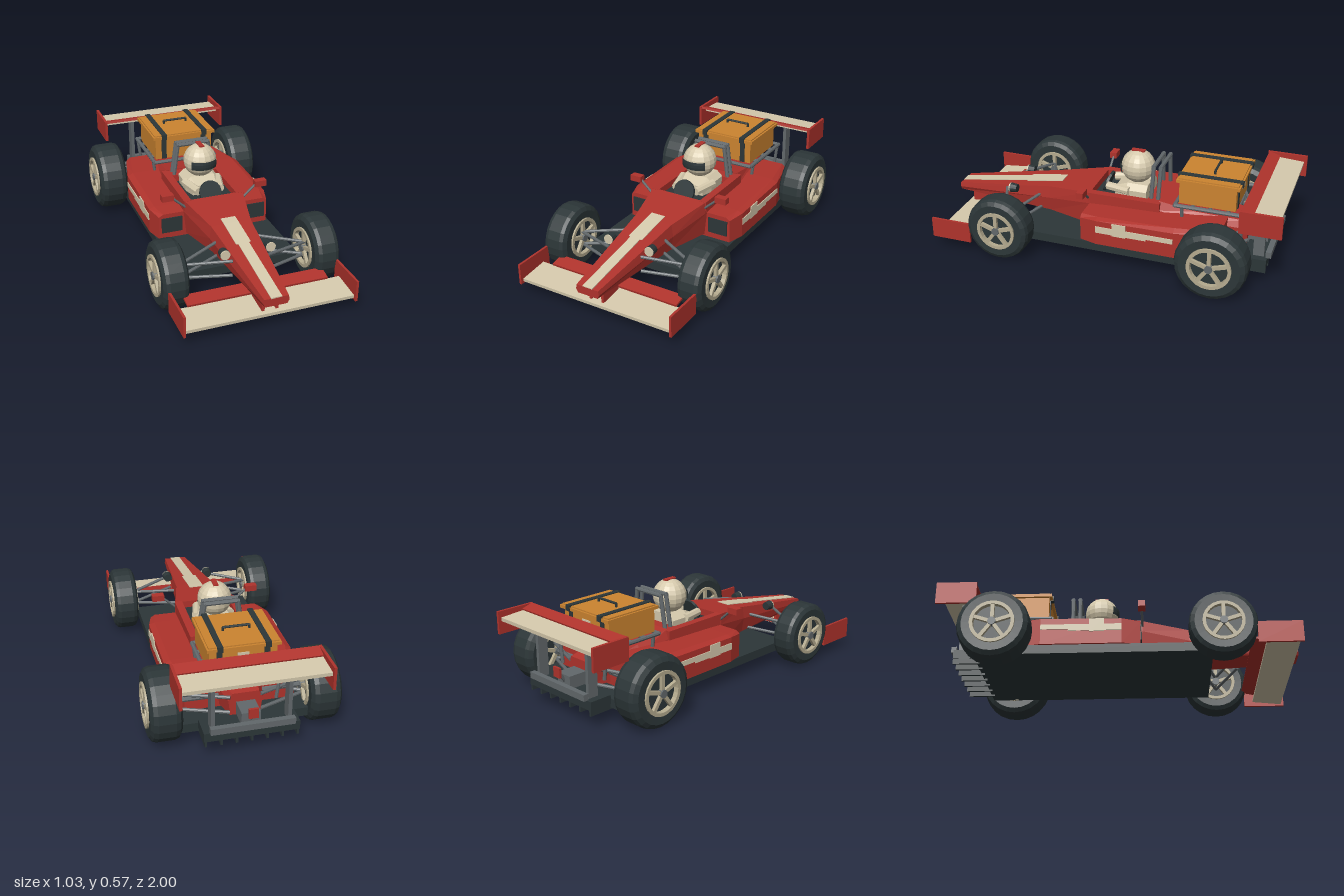
import * as THREE from 'three';

const mat = (name, color) => Object.assign(new THREE.MeshStandardMaterial({ color }), { name });

export function createModel() {
  const red = mat('bodyRed', 0xb0332c), cream = mat('cream', 0xd6caad), dark = mat('charcoal', 0x2c3638);
  const grey = mat('steel', 0x62686b), tan = mat('leather', 0xcc8430), alloy = mat('wheelAlloy', 0xb5ab8f);
  const car = new THREE.Group();
  car.name = 'racingCar';

  // Adds a faceted mesh
  function add(name, geo, m, x = 0, y = 0, z = 0, parent = car) {
    const g = geo.index ? geo.toNonIndexed() : geo;
    g.computeVertexNormals();
    const mesh = new THREE.Mesh(g, m);
    mesh.name = name;
    mesh.position.set(x, y, z);
    parent.add(mesh);
    return mesh;
  }
  // Box given by its limits
  const box = (name, m, x0, x1, y0, y1, z0, z1) =>
    add(name, new THREE.BoxGeometry(x1 - x0, y1 - y0, z1 - z0), m, (x0 + x1) / 2, (y0 + y1) / 2, (z0 + z1) / 2);
  // Mirrored pair of boxes
  const pair = (name, m, x0, x1, ...r) => {
    box(name + 'Left', m, x0, x1, ...r);
    box(name + 'Right', m, -x1, -x0, ...r);
  };
  // Round bar between two points
  function rod(name, a, b, r, m = grey) {
    const A = new THREE.Vector3(...a), B = new THREE.Vector3(...b), d = B.clone().sub(A);
    const mesh = add(name, new THREE.CylinderGeometry(r, r, d.length(), 8), m);
    mesh.position.copy(A).add(B).multiplyScalar(0.5);
    mesh.quaternion.setFromUnitVectors(new THREE.Vector3(0, 1, 0), d.normalize());
  }
  // Solid through counter-clockwise sections, ordered from front to back
  function loft(name, m, sections) {
    const v = [], tri = (a, b, c) => v.push(...a, ...b, ...c);
    const n = sections[0].length, last = sections[sections.length - 1];
    for (let i = 0; i < sections.length - 1; i++) for (let j = 0; j < n; j++) {
      const k = (j + 1) % n, P = sections[i], Q = sections[i + 1];
      tri(P[j], Q[j], Q[k]);
      tri(P[j], Q[k], P[k]);
    }
    for (let j = 1; j < n - 1; j++) {
      tri(sections[0][0], sections[0][j], sections[0][j + 1]);
      tri(last[0], last[j + 1], last[j]);
    }
    const g = new THREE.BufferGeometry();
    g.setAttribute('position', new THREE.Float32BufferAttribute(v, 3));
    return add(name, g, m);
  }
  // Symmetric section: bottom, shoulder and top half widths and heights
  const sec = (z, wb, yb, ws, ys, wt, yt) =>
    [[-wb, yb, z], [wb, yb, z], [ws, ys, z], [wt, yt, z], [-wt, yt, z], [-ws, ys, z]];

  // Floor and diffuser
  box('floor', dark, -0.34, 0.34, 0.08, 0.13, -0.78, 0.51);
  box('diffuser', dark, -0.25, 0.25, 0.1, 0.15, -0.91, -0.78);
  for (let i = -3; i <= 3; i++) box('diffuserFin', dark, i * 0.08 - 0.006, i * 0.08 + 0.006, 0.07, 0.12, -0.91, -0.76);
  box('rearCrossbar', grey, -0.22, 0.22, 0.15, 0.185, -0.93, -0.9);

  // Nose with its stripe
  loft('nose', red, [
    sec(1, 0.06, 0.165, 0.07, 0.185, 0.066, 0.21),
    sec(0.39, 0.11, 0.155, 0.125, 0.24, 0.115, 0.31),
    sec(0.12, 0.165, 0.14, 0.18, 0.28, 0.175, 0.345)]);
  const noseY = z => (z > 0.39 ? 0.21 + (1 - z) * 0.1 / 0.61 : 0.31 + (0.39 - z) * 0.035 / 0.27);
  loft('noseStripe', cream, [[1, 0.03], [0.57, 0.03], [0.565, 0.042], [0.39, 0.042], [0.34, 0.042]].map(([z, w]) => {
    const y = noseY(z);
    return [[-w, y - 0.003, z], [w, y - 0.003, z], [w, y + 0.004, z], [-w, y + 0.004, z]];
  }));

  // Sidepods, intakes and side stripes
  loft('sidepods', red, [
    sec(0.12, 0.325, 0.13, 0.325, 0.265, 0.3, 0.28),
    sec(0.02, 0.352, 0.13, 0.352, 0.275, 0.32, 0.285),
    sec(-0.42, 0.352, 0.13, 0.352, 0.28, 0.32, 0.297),
    sec(-0.66, 0.295, 0.13, 0.295, 0.27, 0.27, 0.29)]);
  pair('sidepodIntake', dark, 0.19, 0.31, 0.165, 0.255, 0.119, 0.126);
  pair('sideStripeFront', cream, 0.35, 0.357, 0.205, 0.243, -0.27, 0.02);
  pair('sideStripeRear', cream, 0.35, 0.357, 0.215, 0.243, -0.42, -0.27);
  pair('sidePanel', cream, 0.35, 0.358, 0.2, 0.275, -0.155, -0.075);

  // Cockpit, rails and engine cover
  box('cockpitFloor', dark, -0.14, 0.14, 0.28, 0.305, -0.22, 0.13);
  pair('cockpitRail', red, 0.135, 0.178, 0.27, 0.345, -0.29, 0.13);
  box('headrest', red, -0.14, 0.14, 0.28, 0.345, -0.29, -0.21);
  loft('engineCover', red, [
    sec(-0.28, 0.17, 0.15, 0.17, 0.3, 0.15, 0.35),
    sec(-0.48, 0.16, 0.15, 0.16, 0.27, 0.13, 0.31),
    sec(-0.77, 0.08, 0.14, 0.09, 0.23, 0.07, 0.27)]);
  box('gearbox', grey, -0.05, 0.05, 0.13, 0.22, -0.88, -0.76);
  box('rearLight', red, -0.025, 0.025, 0.215, 0.27, -0.925, -0.912);
  rod('rearLightStalk', [0, 0.18, -0.87], [0, 0.24, -0.915], 0.01);

  // Driver
  add('helmet', new THREE.SphereGeometry(0.096, 16, 12), cream, 0, 0.473, -0.11);
  add('visor', new THREE.SphereGeometry(0.104, 10, 3, Math.PI / 2 - 0.82, 1.64, 1.36, 0.48), dark, 0, 0.473, -0.11)
    .material.side = THREE.DoubleSide;
  box('helmetStripe', red, -0.014, 0.014, 0.564, 0.572, -0.148, -0.072);
  loft('torso', cream, [
    sec(0, 0.08, 0.3, 0.085, 0.34, 0.06, 0.36),
    sec(-0.07, 0.1, 0.3, 0.105, 0.36, 0.07, 0.39),
    sec(-0.19, 0.1, 0.3, 0.105, 0.36, 0.07, 0.39)]);
  for (const s of [1, -1]) rod('driverArm', [s * 0.1, 0.355, -0.09], [s * 0.065, 0.35, 0.05], 0.024, cream);
  add('steeringWheel', new THREE.CylinderGeometry(0.065, 0.065, 0.014, 16), dark, 0, 0.345, 0.065).rotation.x = Math.PI / 2 - 0.35;

  // Roll hoop
  for (const z of [-0.225, -0.265]) {
    for (const s of [1, -1]) rod('rollHoopLeg', [s * 0.125, 0.31, z], [s * 0.092, 0.53, z - 0.005], 0.012);
    rod('rollHoopTop', [-0.1, 0.525, z - 0.005], [0.1, 0.525, z - 0.005], 0.012);
  }

  // Luggage rack
  for (const s of [1, -1]) {
    rod('rackRail', [s * 0.19, 0.362, -0.38], [s * 0.19, 0.362, -0.77], 0.012);
    for (const z of [-0.42, -0.75]) rod('rackLeg', [s * 0.17, 0.2, z], [s * 0.19, 0.362, z], 0.01);
  }
  for (let i = 0; i < 5; i++) rod('rackBar', [-0.195, 0.362, -0.38 - i * 0.0975], [0.195, 0.362, -0.38 - i * 0.0975], 0.011);

  // Suitcase with straps, handle and latch
  box('suitcase', tan, -0.177, 0.177, 0.374, 0.505, -0.715, -0.4);
  box('suitcaseLid', tan, -0.193, 0.193, 0.503, 0.52, -0.735, -0.385);
  box('suitcaseLidTop', tan, -0.183, 0.183, 0.518, 0.527, -0.725, -0.395);
  pair('strapTop', dark, 0.11, 0.14, 0.5, 0.532, -0.74, -0.38);
  pair('strapBody', dark, 0.11, 0.14, 0.374, 0.51, -0.719, -0.396);
  rod('suitcaseHandle', [-0.07, 0.546, -0.57], [0.07, 0.546, -0.57], 0.007, dark);
  for (const s of [1, -1]) rod('handleEnd', [s * 0.07, 0.52, -0.57], [s * 0.07, 0.546, -0.57], 0.007, dark);
  box('suitcaseLatch', cream, -0.03, 0.03, 0.44, 0.475, -0.72, -0.714);

  // Front wing
  add('frontWing', new THREE.BoxGeometry(0.93, 0.018, 0.17), cream, 0, 0.092, 0.87).rotation.x = 0.1;
  add('frontFlap', new THREE.BoxGeometry(0.78, 0.012, 0.08), red, 0, 0.123, 0.752).rotation.x = 0.2;
  pair('frontEndplate', red, 0.459, 0.472, 0.065, 0.183, 0.735, 0.972);
  pair('frontWingMount', red, 0.03, 0.045, 0.09, 0.19, 0.8, 0.93);

  // Rear wing
  add('rearWing', new THREE.BoxGeometry(0.755, 0.02, 0.145), cream, 0, 0.457, -0.91).rotation.x = -0.06;
  add('rearFlap', new THREE.BoxGeometry(0.755, 0.014, 0.068), red, 0, 0.483, -0.812).rotation.x = -0.3;
  pair('rearEndplate', red, 0.375, 0.39, 0.372, 0.498, -1, -0.775);
  pair('rearWingPost', grey, 0.19, 0.21, 0.13, 0.452, -0.89, -0.83);

  for (const s of [1, -1]) {
    // Mirrors
    box('mirror', red, s * 0.277 - 0.034, s * 0.277 + 0.034, 0.37, 0.405, 0.108, 0.148);
    rod('mirrorStalk', [s * 0.16, 0.3, 0.13], [s * 0.25, 0.38, 0.128], 0.007);

    // Nose lamps
    const lamp = add('lamp', new THREE.CylinderGeometry(0.028, 0.024, 0.04, 14), dark, s * 0.128, 0.27, 0.61);
    const lens = add('lampLens', new THREE.CylinderGeometry(0.027, 0.027, 0.008, 14), cream, s * 0.128, 0.27, 0.633);
    lamp.rotation.x = lens.rotation.x = Math.PI / 2;
    rod('lampBracket', [s * 0.08, 0.245, 0.61], [s * 0.12, 0.265, 0.61], 0.01, dark);

    // Suspension arms
    for (const z of [0.67, 0.45]) {
      rod('frontUpperArm', [s * 0.1, 0.25, z], [s * 0.36, 0.215, 0.56], 0.009);
      rod('frontLowerArm', [s * 0.1, 0.165, z], [s * 0.36, 0.14, 0.56], 0.009);
    }
    for (const z of [-0.52, -0.77]) {
      rod('rearUpperArm', [s * 0.08, 0.25, z], [s * 0.36, 0.24, -0.655], 0.01);
      rod('rearLowerArm', [s * 0.08, 0.16, z], [s * 0.36, 0.15, -0.655], 0.01);
    }
    rod('rearAxle', [s * 0.04, 0.2, -0.655], [s * 0.37, 0.2, -0.655], 0.016);

    wheel('frontWheel', s * 0.42, 0.56, 0.183, 0.07);
    wheel('rearWheel', s * 0.418, -0.657, 0.197, 0.083);
  }

  // Wheel: chamfered tyre with a five-spoke rim on both faces
  function wheel(name, x, z, R, h) {
    const w = new THREE.Group();
    w.name = name;
    w.position.set(x, R, z);
    car.add(w);
    const ri = R * 0.6, V = (a, b) => new THREE.Vector2(a, b);
    const tyre = [V(0.001, -h * 0.75), V(ri, -h * 0.75), V(ri, -h * 0.97), V(R * 0.84, -h), V(R * 0.96, -h * 0.82), V(R, -h * 0.55),
      V(R, h * 0.55), V(R * 0.96, h * 0.82), V(R * 0.84, h), V(ri, h * 0.97), V(ri, h * 0.75), V(0.001, h * 0.75)];
    add('tyre', new THREE.LatheGeometry(tyre, 24), dark, 0, 0, 0, w).rotation.z = -Math.PI / 2;
    for (const d of [1, -1]) {
      const ring = [V(ri * 0.86, h * 0.74), V(ri * 1.02, h * 0.74), V(ri * 1.02, h + 0.008), V(ri * 0.86, h + 0.008), V(ri * 0.86, h * 0.74)];
      add('rim', new THREE.LatheGeometry(ring, 24), alloy, 0, 0, 0, w).rotation.z = -d * Math.PI / 2;
      for (let i = 0; i < 5; i++) {
        const a = i * Math.PI * 0.4;
        const spoke = add('spoke', new THREE.BoxGeometry(0.018, ri * 0.9, 0.02), alloy,
          d * (h - 0.004), Math.cos(a) * ri * 0.47, Math.sin(a) * ri * 0.47, w);
        spoke.rotation.x = a;
      }
      add('hub', new THREE.CylinderGeometry(0.022, 0.022, 0.03, 10), grey, d * (h - 0.002), 0, 0, w).rotation.z = Math.PI / 2;
    }
  }
  return car;
}
